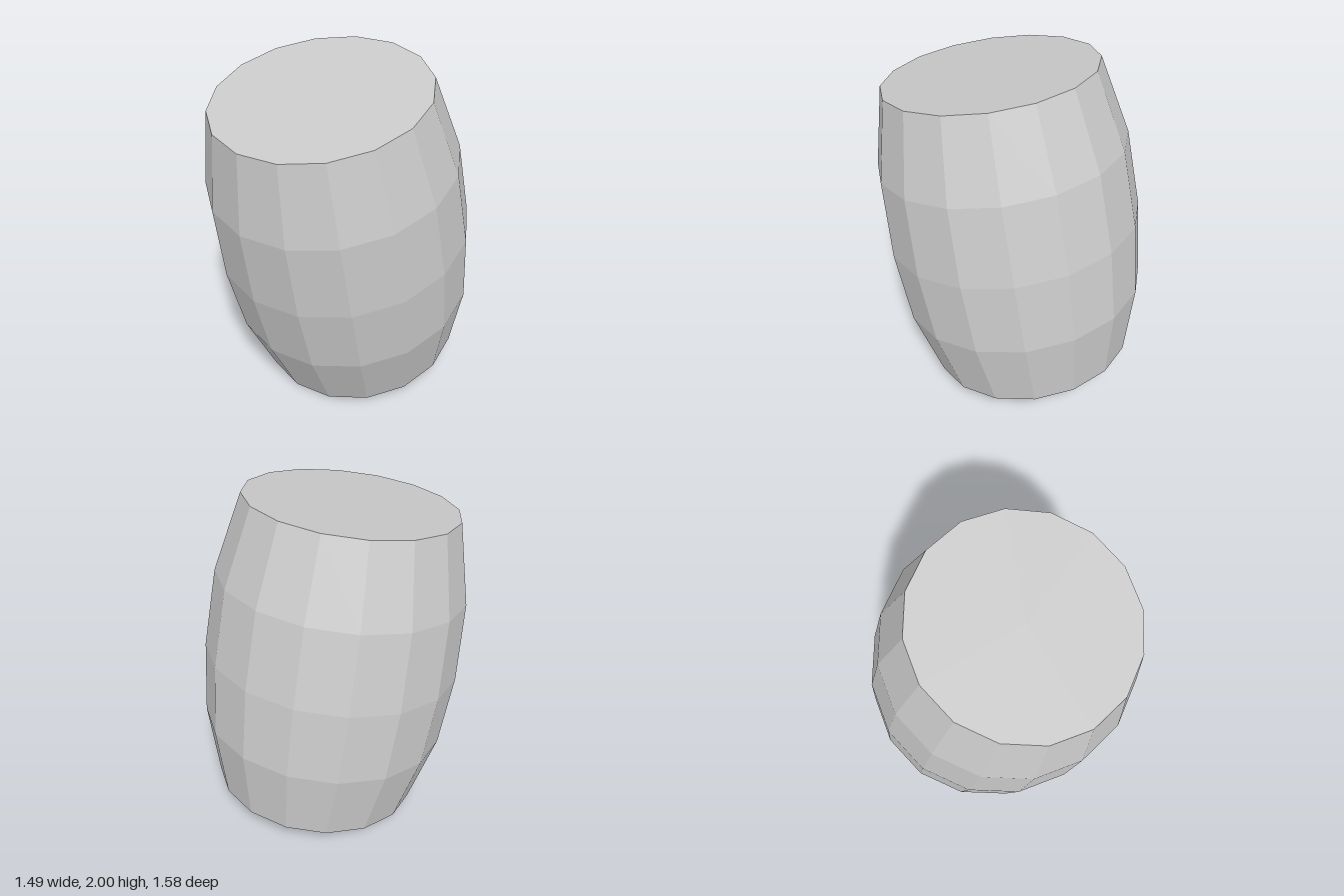
import * as THREE from 'three';

export function createModel() {
  const group = new THREE.Group();
  group.name = 'tiltedBarrel';

  // Barrel profile (radius, height along the axis), closed by flat ends
  const profile = [
    [0, -0.9], [0.606, -0.9], [0.717, -0.46], [0.744, -0.018],
    [0.717, 0.447], [0.606, 0.9], [0, 0.9],
  ].map(([r, y]) => new THREE.Vector2(r, y));

  const barrel = new THREE.Mesh(
    new THREE.LatheGeometry(profile, 16),
    new THREE.MeshStandardMaterial({ color: 0xcccccc, flatShading: true })
  );
  barrel.name = 'barrel';

  // Leans forward, with its lowest edge on the ground
  barrel.rotation.x = 0.191;
  barrel.position.y = 1;
  group.add(barrel);
  return group;
}
